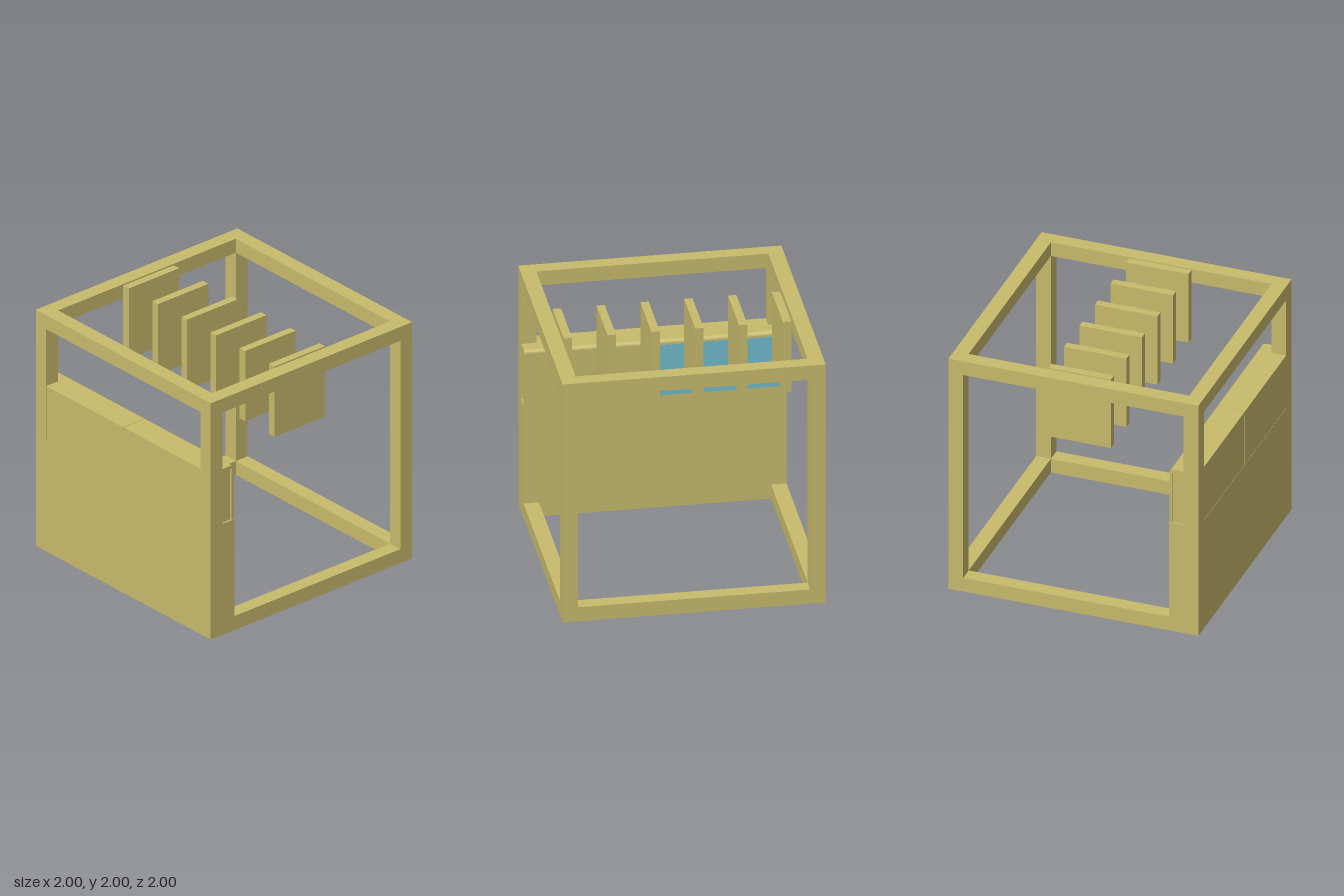
import * as THREE from 'three';

export function createModel() {
  const group = new THREE.Group();
  const sand = new THREE.MeshStandardMaterial({ color: 0xc8ba6c });
  sand.name = 'sand';
  const blue = new THREE.MeshStandardMaterial({ color: 0x72bbcc });
  blue.name = 'light blue';

  // box given by its lower and upper limits
  function box(name, [x0, y0, z0], [x1, y1, z1], material = sand) {
    const mesh = new THREE.Mesh(new THREE.BoxGeometry(x1 - x0, y1 - y0, z1 - z0), material);
    mesh.position.set((x0 + x1) / 2, (y0 + y1) / 2, (z0 + z1) / 2);
    mesh.name = name;
    group.add(mesh);
  }

  const T = 0.118, I = 1 - T;      // bar thickness and inner half width
  const WX = -0.765, WY = 0.94;    // inner face and top of the low wall

  // low wall, which carries the two right posts
  box('wall', [-1, 0, -1], [WX, WY, 1]);

  // cube frame
  for (const s of [-1, 1]) {
    const z0 = s > 0 ? I : -1, z1 = z0 + T;
    box('rightPost', [-1, WY, z0], [-I, 2, z1]);
    box('leftPost', [I, 0, z0], [1, 2, z1]);
    box('lowerCrossBar', [WX, 0, z0], [I, T, z1]);
    box('upperCrossBar', [-I, 2 - T, z0], [I, 2, z1]);
  }
  box('upperRightBar', [-1, 2 - T, -I], [-I, 2, I]);
  box('upperLeftBar', [I, 2 - T, -I], [1, 2, I]);
  box('lowerLeftBar', [I, 0, -I], [1, T, I]);

  // row of hanging slats
  for (let i = 0; i < 6; i++) {
    const z = -0.833 + i / 3;
    box('slat', [-0.25, 1.405, z - 0.032], [0.25, 2, z + 0.032]);
  }

  // bent cover sheet over the wall top, with a rounded inner edge
  const profile = new THREE.Shape();
  profile.moveTo(-0.999, 1.372);
  profile.lineTo(-0.79, 1.372);
  profile.lineTo(-0.79, WY);
  profile.lineTo(WX, WY);
  profile.lineTo(WX, 1.37);
  profile.absarc(WX - 0.03, 1.37, 0.03, 0, Math.PI / 2, false);
  profile.lineTo(-0.999, 1.4);
  profile.closePath();

  // two halves of the upper panel, parted by a fine seam
  for (const [z0, z1] of [[-0.995, -0.002], [0.002, 0.995]]) {
    const sheet = new THREE.Mesh(
      new THREE.ExtrudeGeometry(profile, { depth: z1 - z0, bevelEnabled: false, curveSegments: 6 }), sand);
    sheet.position.z = z0;
    sheet.name = 'coverSheet';
    group.add(sheet);
    box('panelCore', [-0.998, WY, Math.max(z0, -0.985)], [-0.793, 1.372, Math.min(z1, 0.985)]);
  }

  // blue face on the rear half of the panel
  box('bluePanel', [WX - 0.002, WY, -0.97], [WX + 0.003, 1.362, 0], blue);

  return group;
}
